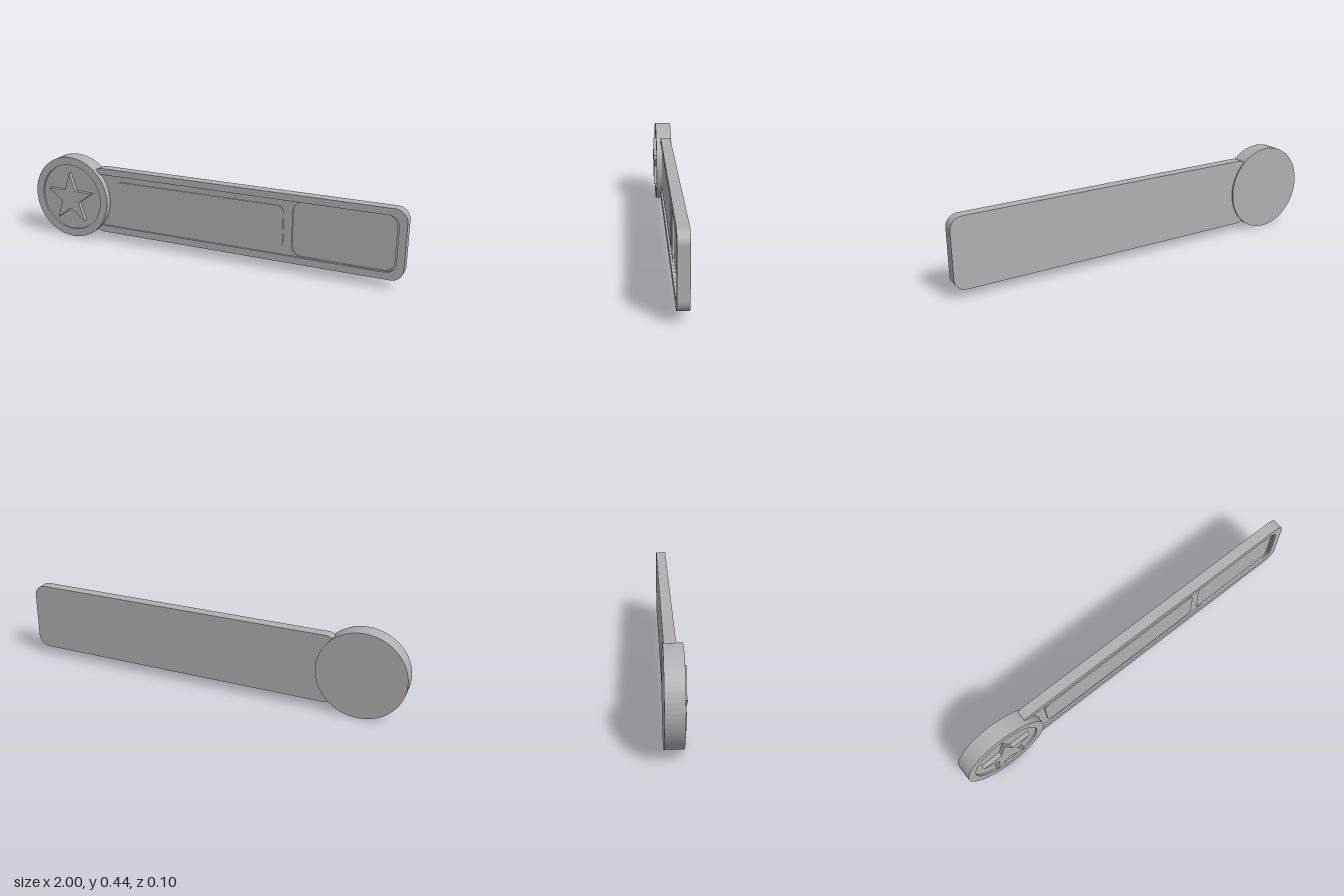
import * as THREE from 'three';

const grey = new THREE.MeshStandardMaterial({ color: 0xb0b0b0 });
grey.name = 'plain grey';

// Trace a rounded rectangle into a Shape or Path
function roundedRect(x0, y0, x1, y1, r, target = new THREE.Shape()) {
  target.moveTo(x0 + r, y0);
  target.lineTo(x1 - r, y0);
  target.absarc(x1 - r, y0 + r, r, -Math.PI / 2, 0, false);
  target.lineTo(x1, y1 - r);
  target.absarc(x1 - r, y1 - r, r, 0, Math.PI / 2, false);
  target.lineTo(x0 + r, y1);
  target.absarc(x0 + r, y1 - r, r, Math.PI / 2, Math.PI, false);
  target.lineTo(x0, y0 + r);
  target.absarc(x0 + r, y0 + r, r, Math.PI, Math.PI * 1.5, false);
  return target;
}

function circle(x, y, r, target = new THREE.Shape()) {
  target.absarc(x, y, r, 0, Math.PI * 2, false);
  return target;
}

// Slab of a shape between two depths
function slab(name, shape, z0, z1, curveSegments = 8) {
  const geometry = new THREE.ExtrudeGeometry(shape, { depth: z1 - z0, bevelEnabled: false, curveSegments });
  geometry.translate(0, 0, z0);
  const mesh = new THREE.Mesh(geometry, grey);
  mesh.name = name;
  return mesh;
}

export function createModel() {
  const model = new THREE.Group();
  model.name = 'starTag';

  // Long bar: solid back, raised rim, recessed floor with a deeper pocket
  const bar = new THREE.Group();
  bar.name = 'bar';
  const outline = () => roundedRect(-0.66, 0.047, 1, 0.397, 0.06);
  const rim = outline();
  rim.holes.push(roundedRect(-0.64, 0.083, 0.963, 0.363, 0.05, new THREE.Path()));
  const floor = roundedRect(-0.645, 0.08, 0.966, 0.366, 0.05);
  floor.holes.push(roundedRect(0.453, 0.085, 0.953, 0.361, 0.05, new THREE.Path()));
  bar.add(
    slab('barBack', outline(), -0.04, -0.004),
    slab('barRim', rim, -0.004, 0.014),
    slab('barFloor', floor, -0.004, 0.004),
    slab('namePlate', roundedRect(-0.52, 0.115, 0.408, 0.332, 0.035), 0.003, 0.009)
  );
  model.add(bar);

  // Round medallion with a raised ring
  const medallion = new THREE.Group();
  medallion.name = 'medallion';
  const cx = -0.78, cy = 0.222;
  const ring = circle(cx, cy, 0.22);
  ring.holes.push(circle(cx, cy, 0.178, new THREE.Path()));
  medallion.add(
    slab('medallionBack', circle(cx, cy, 0.22), -0.047, 0.028, 32),
    slab('medallionRing', ring, 0.028, 0.038, 32)
  );

  // Five-pointed star standing on the medallion
  const points = [];
  for (let i = 0; i < 10; i++) {
    const r = i % 2 ? 0.054 : 0.141;
    const a = Math.PI / 2 + (i * Math.PI) / 5;
    points.push(new THREE.Vector2(cx + r * Math.cos(a), 0.217 + r * Math.sin(a)));
  }
  medallion.add(slab('star', new THREE.Shape(points), 0.027, 0.049));
  model.add(medallion);

  return model;
}
